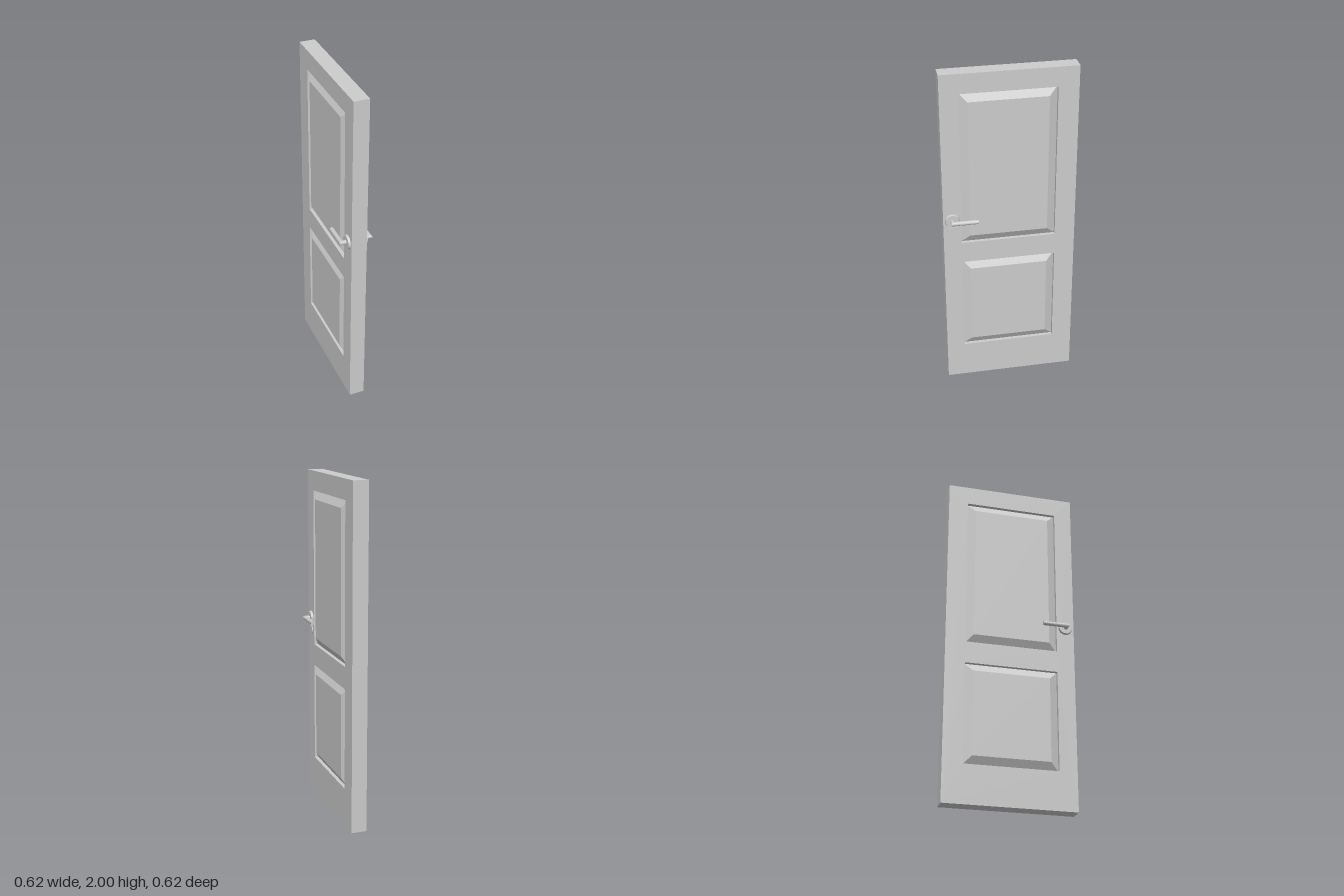
import * as THREE from 'three';

const WIDTH = 0.771, HEIGHT = 2, HALF = 0.0455;      // door leaf, HALF = half thickness
const PANEL_X = 0.006, PANEL_W = 0.548;
const PANELS = [
  { name: 'lowerPanel', y0: 0.227, y1: 0.826 },
  { name: 'upperPanel', y0: 0.957, y1: 1.885 },
];
const HANDLE_X = 0.333, HANDLE_Y = 1.112;

const grey = new THREE.MeshStandardMaterial({ color: 0xcccccc });

function mesh(name, geometry) {
  const m = new THREE.Mesh(geometry, grey);
  m.name = name;
  return m;
}

// Apply a rule to every vertex, then refresh the normals
function reshape(geometry, rule) {
  const p = geometry.attributes.position, v = new THREE.Vector3();
  for (let i = 0; i < p.count; i++) {
    rule(v.fromBufferAttribute(p, i));
    p.setXYZ(i, v.x, v.y, v.z);
  }
  geometry.computeVertexNormals();
  return geometry;
}

function rect(path, x0, y0, x1, y1) {
  path.moveTo(x0, y0);
  path.lineTo(x1, y0);
  path.lineTo(x1, y1);
  path.lineTo(x0, y1);
  path.closePath();
  return path;
}

// Stiles and rails: one slab with an opening per panel
function frame() {
  const shape = rect(new THREE.Shape(), -WIDTH / 2, 0, WIDTH / 2, HEIGHT);
  for (const { y0, y1 } of PANELS) {
    shape.holes.push(rect(new THREE.Path(), PANEL_X - PANEL_W / 2, y0, PANEL_X + PANEL_W / 2, y1));
  }
  const g = new THREE.ExtrudeGeometry(shape, { depth: 2 * HALF, bevelEnabled: false });
  return mesh('doorFrame', g.translate(0, 0, -HALF));
}

// Raised field: sloped border rising from the recess to just proud of the frame
function raisedField(w, h) {
  const low = HALF - 0.022, high = HALF + 0.006, inset = 0.048;
  const g = new THREE.BoxGeometry(w, h, high - low).translate(0, 0, (low + high) / 2);
  return reshape(g, (v) => {
    if (v.z > (low + high) / 2) {
      v.x -= Math.sign(v.x) * inset;
      v.y -= Math.sign(v.y) * inset;
    }
  });
}

// Rosette, neck and lever, mounted on z = 0 and pointing to +z
function handle(name) {
  const group = new THREE.Group();
  group.name = name;
  const r = 0.0125, reach = 0.039, length = 0.145;

  const rosette = new THREE.CylinderGeometry(0.038, 0.042, 0.013, 32)
    .rotateX(Math.PI / 2).translate(0, 0, 0.0065);

  // Neck and lever meet in a mitred corner
  const neck = reshape(
    new THREE.CylinderGeometry(r, r, reach, 20, 1, true).rotateX(Math.PI / 2).translate(0, 0, reach / 2),
    (v) => { if (v.z > reach / 2) v.z = reach + v.x; });
  const lever = reshape(
    new THREE.CylinderGeometry(r, r, length, 20, 1, true).rotateZ(Math.PI / 2).translate(-length / 2, 0, reach),
    (v) => { if (v.x > -length / 2) v.x = v.z - reach; });
  const tip = new THREE.CircleGeometry(r, 20).rotateY(-Math.PI / 2).translate(-length, 0, reach);

  group.add(mesh('rosette', rosette), mesh('neck', neck), mesh('lever', lever), mesh('leverTip', tip));
  return group;
}

export function createModel() {
  const model = new THREE.Group();
  model.name = 'door';
  model.add(frame());

  // Panels, one raised field on each side
  for (const { name, y0, y1 } of PANELS) {
    const panel = new THREE.Group();
    panel.name = name;
    panel.position.set(PANEL_X, (y0 + y1) / 2, 0);
    const field = raisedField(PANEL_W, y1 - y0);
    const front = mesh('frontField', field);
    const back = mesh('backField', field);
    back.rotation.x = Math.PI;
    panel.add(front, back);
    model.add(panel);
  }

  // Lever handles on both sides
  const frontHandle = handle('frontHandle');
  frontHandle.position.set(HANDLE_X, HANDLE_Y, HALF);
  const backHandle = handle('backHandle');
  backHandle.position.set(HANDLE_X, HANDLE_Y, -HALF);
  backHandle.rotation.x = Math.PI;
  model.add(frontHandle, backHandle);

  // Lock cover below the back handle
  const cover = mesh('lockCover', new THREE.CylinderGeometry(0.03, 0.03, 0.005, 28).rotateX(Math.PI / 2));
  cover.position.set(HANDLE_X, 1.037, -HALF - 0.0025);
  model.add(cover);

  // The leaf stands ajar at 45 degrees
  model.rotation.y = -Math.PI / 4;
  model.position.set(-0.007, 0, -0.005);
  const root = new THREE.Group();
  root.add(model);
  return root;
}
